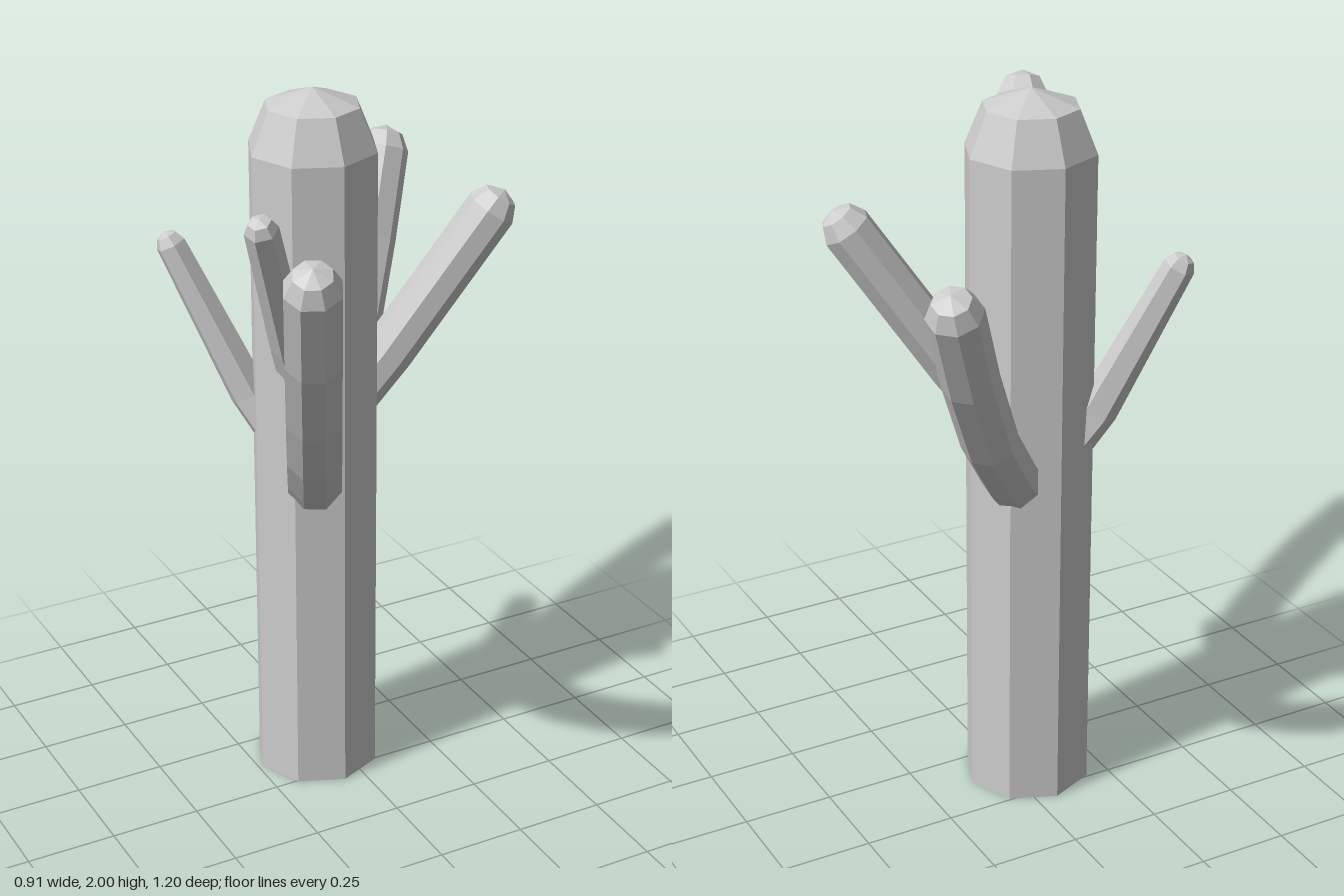
import * as THREE from 'three';

const CX = -0.06, CZ = -0.12; // trunk axis

// Each arm: heading from the trunk axis, radii, sides, and a path of [distance out, height] ending at the tip
const ARMS = [
  { name: 'frontArm', dir: [-0.46, 0.89], r: [0.078, 0.075], sides: 8,
    path: [[0.08, 0.9], [0.2, 0.99], [0.35, 1.13], [0.48, 1.3], [0.62, 1.52], [0.755, 1.81]] },
  { name: 'backArm', dir: [0.72, -0.69], r: [0.076, 0.073], sides: 8,
    path: [[0.06, 0.91], [0.18, 1.01], [0.34, 1.18], [0.49, 1.41], [0.635, 1.69]] },
  { name: 'leftArm', dir: [0.93, 0.36], r: [0.07, 0.068], sides: 8,
    path: [[0.08, 1.1], [0.2, 1.255], [0.505, 1.7]] },
  { name: 'smallFrontArm', dir: [-0.76, 0.65], r: [0.055, 0.045], sides: 6,
    path: [[0.08, 1.18], [0.17, 1.35], [0.355, 1.77]] },
  { name: 'smallBackArm', dir: [-0.79, -0.61], r: [0.07, 0.042], sides: 6,
    path: [[0.08, 1.0], [0.18, 1.13], [0.4, 1.58]] },
];

// Faceted limb: rings swept along a planar path, closed by a tapered shoulder and a low point
function limbGeometry({ dir, r, sides, path }) {
  const d = new THREE.Vector3(dir[0], 0, dir[1]).normalize();
  const pts = path.map(([out, y]) => new THREE.Vector3(CX, y, CZ).addScaledVector(d, out));
  const last = pts.length - 1;
  const tangents = pts.map((p, i) =>
    pts[Math.min(i + 1, last)].clone().sub(pts[Math.max(i - 1, 0)]).normalize());
  const end = tangents[last];
  const tip = pts[last].clone();

  const rings = pts.map((p, i) => ({
    p, t: tangents[i], r: THREE.MathUtils.lerp(r[0], r[1], i / last),
  }));
  rings[last].p = tip.clone().addScaledVector(end, -0.9 * r[1]);
  rings.push({ p: tip.clone().addScaledVector(end, -0.27 * r[1]), t: end, r: 0.68 * r[1] });
  rings.push({ p: tip, t: end, r: 0 });

  const side = new THREE.Vector3(0, 1, 0).cross(d).normalize();
  const position = [], index = [];
  for (const ring of rings) {
    const n = ring.t.clone().cross(side);
    for (let j = 0; j < sides; j++) {
      const a = ((j + 0.5) / sides) * Math.PI * 2;
      const v = ring.p.clone()
        .addScaledVector(side, Math.cos(a) * ring.r)
        .addScaledVector(n, Math.sin(a) * ring.r);
      position.push(v.x, v.y, v.z);
    }
  }
  for (let i = 0; i < rings.length - 1; i++) {
    for (let j = 0; j < sides; j++) {
      const k = (j + 1) % sides;
      const a = i * sides + j, b = i * sides + k, c = a + sides, e = b + sides;
      index.push(a, b, c);
      if (rings[i + 1].r > 0) index.push(b, e, c);
    }
  }
  const g = new THREE.BufferGeometry();
  g.setAttribute('position', new THREE.Float32BufferAttribute(position, 3));
  g.setIndex(index);
  const flat = g.toNonIndexed();
  flat.computeVertexNormals();
  return flat;
}

export function createModel() {
  const group = new THREE.Group();
  group.name = 'cactus';
  const skin = new THREE.MeshStandardMaterial({
    color: 0xcccccc, flatShading: true, side: THREE.DoubleSide,
  });
  skin.name = 'light grey';

  // Eight-sided trunk, open underneath, with a bevelled crown
  const profile = [[0.175, 0], [0.175, 1.84], [0.127, 1.955], [0, 2]]
    .map(([x, y]) => new THREE.Vector2(x, y));
  const trunk = new THREE.Mesh(new THREE.LatheGeometry(profile, 8), skin);
  trunk.name = 'trunk';
  trunk.position.set(CX, 0, CZ);
  group.add(trunk);

  // Upward-reaching arms
  for (const arm of ARMS) {
    const mesh = new THREE.Mesh(limbGeometry(arm), skin);
    mesh.name = arm.name;
    group.add(mesh);
  }
  return group;
}
